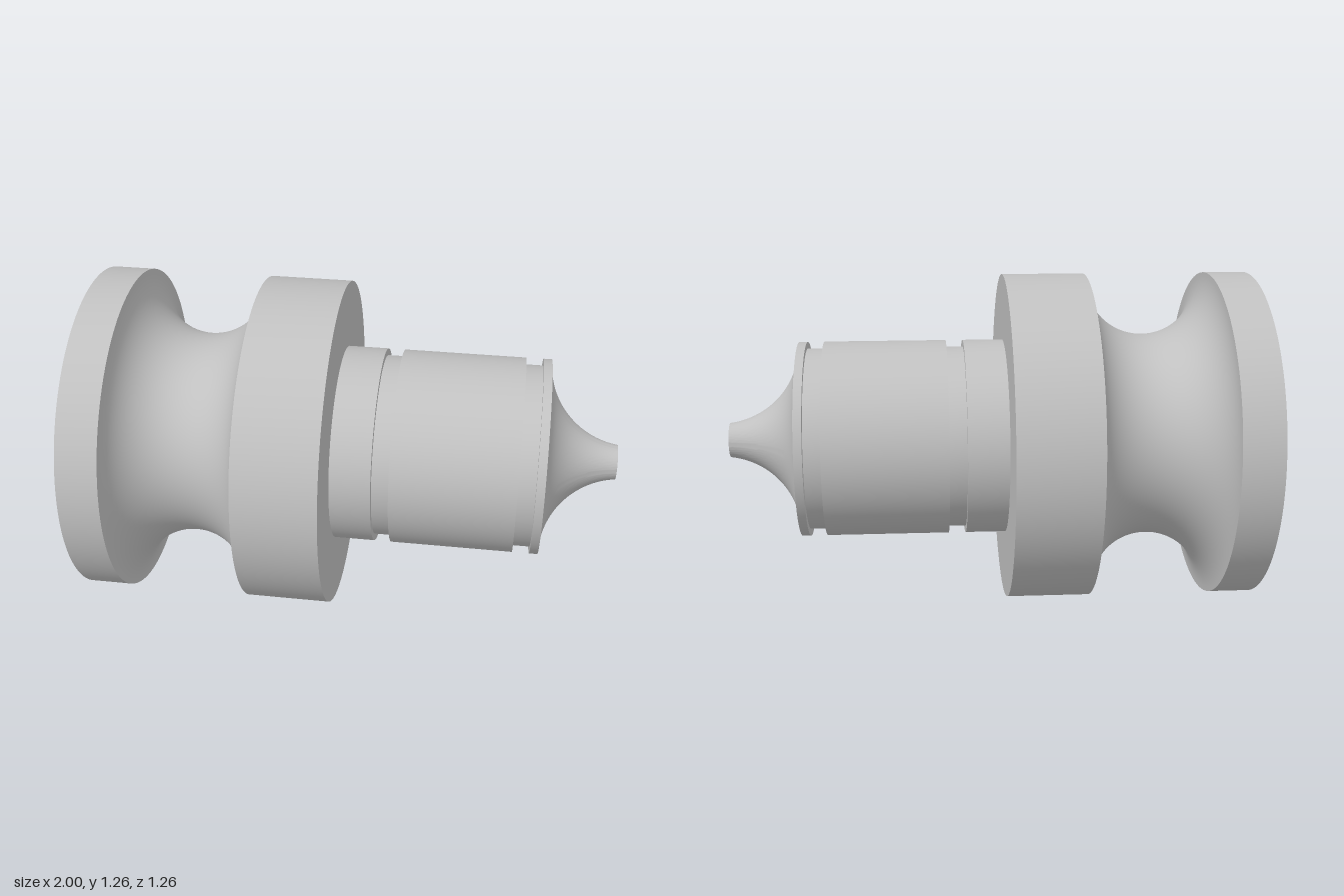
import * as THREE from 'three';
import { toCreasedNormals } from 'three/addons/utils/BufferGeometryUtils.js';

const AXIS_Y = 0.629, FLANGE = 0.628, SHAFT = 0.376, NECK = 0.35, BORE = 0.066;

// Points [x along axis, radius] on a circular arc
function arc(cx, cr, radius, from, to, steps) {
  return Array.from({ length: steps + 1 }, (_, i) => {
    const a = from + (to - from) * i / steps;
    return [cx + radius * Math.cos(a), cr + radius * Math.sin(a)];
  });
}

export function createModel() {
  const model = new THREE.Group();
  model.name = 'turnedSpindle';
  const steel = new THREE.MeshStandardMaterial({ color: 0xc0c0c0 });
  steel.name = 'grey steel';

  // Each part is a profile revolved around the x axis
  function turned(name, profile) {
    const points = profile.map(([x, r]) => new THREE.Vector2(r, x));
    const geometry = new THREE.LatheGeometry(points, 128).rotateZ(-Math.PI / 2);
    const mesh = new THREE.Mesh(toCreasedNormals(geometry, 0.5), steel);
    mesh.name = name;
    mesh.position.y = AXIS_Y;
    model.add(mesh);
  }

  // Large flanges with the round groove between them
  turned('endFlange', [[-1, BORE], [-1, FLANGE], [-0.844, FLANGE]]);
  turned('roundGroove', arc(-0.607, FLANGE, 0.237, Math.PI, 2 * Math.PI, 40));
  turned('middleFlange', [[-0.37, FLANGE], [-0.057, FLANGE], [-0.057, SHAFT]]);

  // Shaft with two narrow ring grooves
  turned('shaftCollar', [[-0.057, SHAFT], [0.097, SHAFT], [0.097, NECK]]);
  turned('innerRingGroove', [[0.097, NECK], [0.163, NECK]]);
  turned('shaftBody', [[0.163, NECK], [0.163, SHAFT], [0.63, SHAFT], [0.63, NECK]]);
  turned('outerRingGroove', [[0.63, NECK], [0.695, NECK]]);
  turned('endLip', [[0.695, NECK], [0.695, SHAFT], [0.727, SHAFT]]);

  // Concave nose narrowing to the mouth of the bore
  turned('nose', arc(1.039, SHAFT, 0.312, Math.PI, 1.5 * Math.PI - 0.125, 32));

  // Through bore, facing inwards
  turned('bore', [[1, BORE], [-1, BORE]]);

  return model;
}
